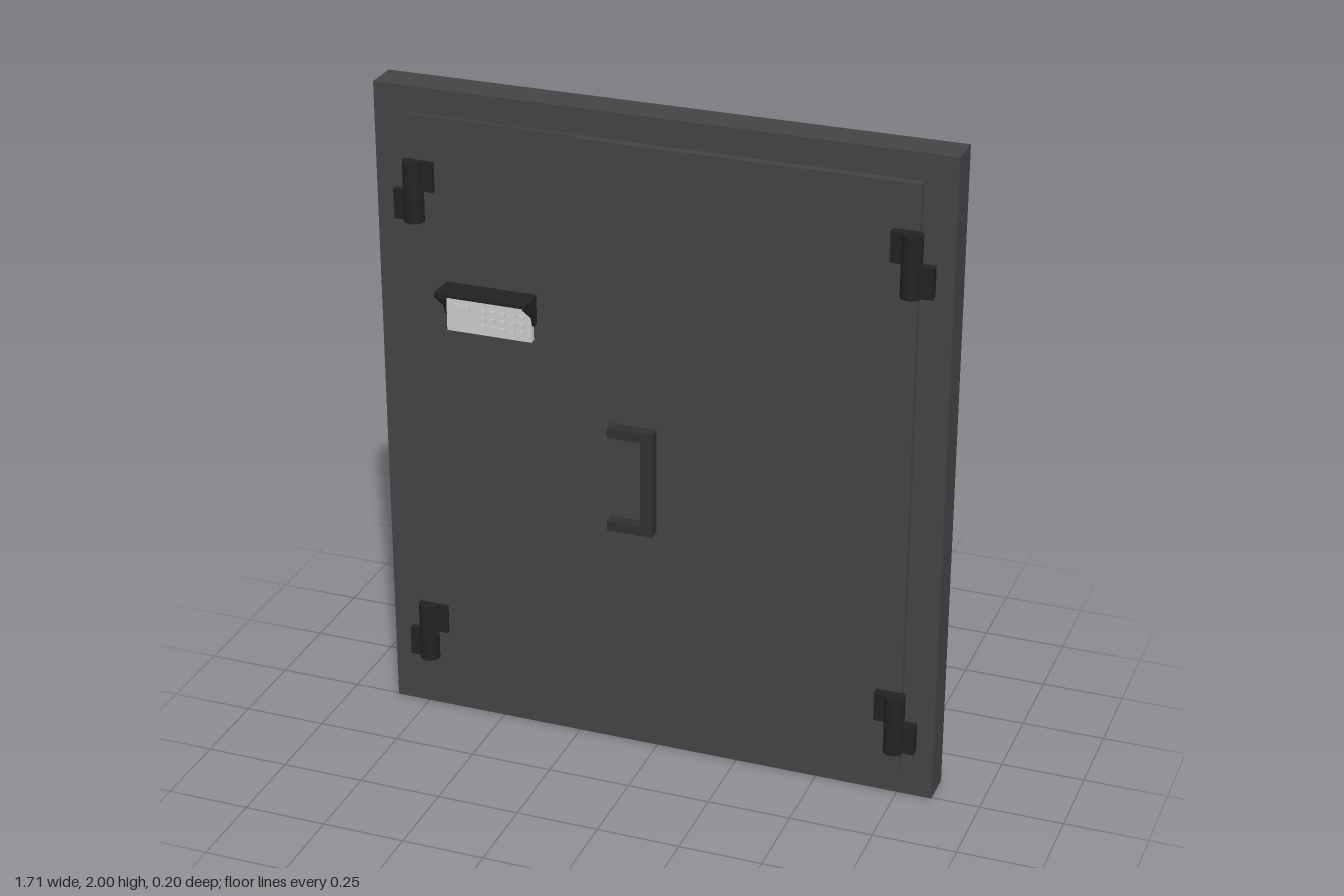
import * as THREE from 'three';

const mat = (color) => new THREE.MeshStandardMaterial({ color, side: THREE.DoubleSide });
const steel = mat(0x444446);
const black = mat(0x222222);
const handleMat = mat(0x303032);
const light = mat(0xcccccc);

function add(parent, name, geometry, material, x = 0, y = 0, z = 0) {
  const mesh = new THREE.Mesh(geometry, material);
  mesh.name = name;
  mesh.position.set(x, y, z);
  parent.add(mesh);
  return mesh;
}

function group(parent, name) {
  const g = new THREE.Group();
  g.name = name;
  parent.add(g);
  return g;
}

// Box given by its limits
function block(parent, name, material, x0, x1, y0, y1, z0, z1) {
  return add(parent, name, new THREE.BoxGeometry(x1 - x0, y1 - y0, z1 - z0), material,
    (x0 + x1) / 2, (y0 + y1) / 2, (z0 + z1) / 2);
}

// Four thin sheets folded back from a rectangle's edges
function returns(parent, x0, x1, y0, y1, zBack, zFront) {
  const d = zFront - zBack, z = (zFront + zBack) / 2;
  for (const x of [x0, x1]) {
    add(parent, 'sideReturn', new THREE.PlaneGeometry(d, y1 - y0), steel, x, (y0 + y1) / 2, z)
      .rotation.y = x === x0 ? -Math.PI / 2 : Math.PI / 2;
  }
  for (const y of [y0, y1]) {
    add(parent, 'edgeReturn', new THREE.PlaneGeometry(x1 - x0, d), steel, (x0 + x1) / 2, y, z)
      .rotation.x = y === y0 ? Math.PI / 2 : -Math.PI / 2;
  }
}

function rectangle(Type, x0, x1, y0, y1) {
  return new Type([[x0, y0], [x1, y0], [x1, y1], [x0, y1]].map(([x, y]) => new THREE.Vector2(x, y)));
}

// Folded sheet leaf, open at the back
function leaf(parent, name, x0, x1, z) {
  const g = group(parent, name);
  add(g, 'leafFace', new THREE.PlaneGeometry(x1 - x0, 1.83), steel, (x0 + x1) / 2, 1.005, z);
  returns(g, x0, x1, 0.09, 1.92, 0.005, z);
}

// Lift-off hinge: upper flap on the leaf, lower flap on the frame; side is the outward x sign
function hinge(parent, side, x, y, z) {
  const g = group(parent, 'hinge');
  g.position.set(x, y, z);
  const flap = (name, s, y0, y1) =>
    block(g, name, black, Math.min(0, s * 0.062), Math.max(0, s * 0.062), y0, y1, -0.026, 0.004);
  for (const [y0, y1] of [[0, 0.091], [0.094, 0.185]]) {
    add(g, 'barrel', new THREE.CylinderGeometry(0.03, 0.03, y1 - y0, 24), black, 0, (y0 + y1) / 2, 0);
  }
  flap('frameFlap', side, 0, 0.091);
  flap('leafFlap', -side, 0.094, 0.185);
}

export function createModel() {
  const model = new THREE.Group();
  model.name = 'doubleDoor';

  // Frame: front flange with deep returns
  const frame = group(model, 'frame');
  const flange = rectangle(THREE.Shape, -0.855, 0.855, 0, 2);
  flange.holes.push(rectangle(THREE.Path, -0.76, 0.76, 0.09, 1.92));
  add(frame, 'frontFlange', new THREE.ShapeGeometry(flange), steel, 0, 0, 0.005);
  returns(frame, -0.855, 0.855, 0, 2, -0.1, 0.005);

  // Leaves
  leaf(model, 'narrowLeaf', -0.76, -0.233, 0.012);
  leaf(model, 'wideLeaf', -0.233, 0.76, 0.03);

  // Hinges
  for (const y of [0.167, 1.6]) {
    hinge(model, -1, -0.735, y, 0.02);
    hinge(model, 1, 0.747, y, 0.052);
  }

  // Pull handle with fixing bosses at the arm ends
  const handle = group(model, 'handle');
  block(handle, 'grip', handleMat, -0.03, 0.006, 0.735, 1.065, 0.026, 0.067);
  for (const y of [0.735, 1.034]) {
    block(handle, 'arm', handleMat, -0.133, -0.03, y, y + 0.031, 0.026, 0.067);
    add(handle, 'boss', new THREE.CylinderGeometry(0.017, 0.017, 0.02, 16), handleMat, -0.113, y + 0.0155, 0.026)
      .rotation.x = Math.PI / 2;
  }

  // Control panel with keypad
  const panel = group(model, 'controlPanel');
  block(panel, 'plate', light, -0.637, -0.374, 1.28, 1.41, 0.013, 0.034);
  for (let row = 0; row < 4; row++) {
    for (let col = 0; col < 5; col++) {
      const x = -0.53 + col * 0.03, y = 1.3 + row * 0.024;
      block(panel, 'key', light, x, x + 0.015, y, y + 0.012, 0.034, 0.039);
    }
  }
  block(panel, 'slotTop', light, -0.61, -0.565, 1.362, 1.368, 0.034, 0.037);
  block(panel, 'slotSide', light, -0.571, -0.565, 1.325, 1.362, 0.034, 0.037);

  // Rain hood over the panel
  const hood = group(model, 'hood');
  block(hood, 'hoodTop', black, -0.645, -0.365, 1.412, 1.422, 0.008, 0.1);
  block(hood, 'hoodBack', black, -0.645, -0.365, 1.335, 1.42, 0.008, 0.0125);
  const cheek = new THREE.Shape([[0.008, 1.33], [0.03, 1.33], [0.04, 1.36], [0.1, 1.408], [0.1, 1.42], [0.008, 1.42]]
    .map(([z, y]) => new THREE.Vector2(-z, y)));
  for (const x of [-0.645, -0.373]) {
    add(hood, 'hoodCheek', new THREE.ExtrudeGeometry(cheek, { depth: 0.008, bevelEnabled: false }), black, x)
      .rotation.y = Math.PI / 2;
  }

  return model;
}
